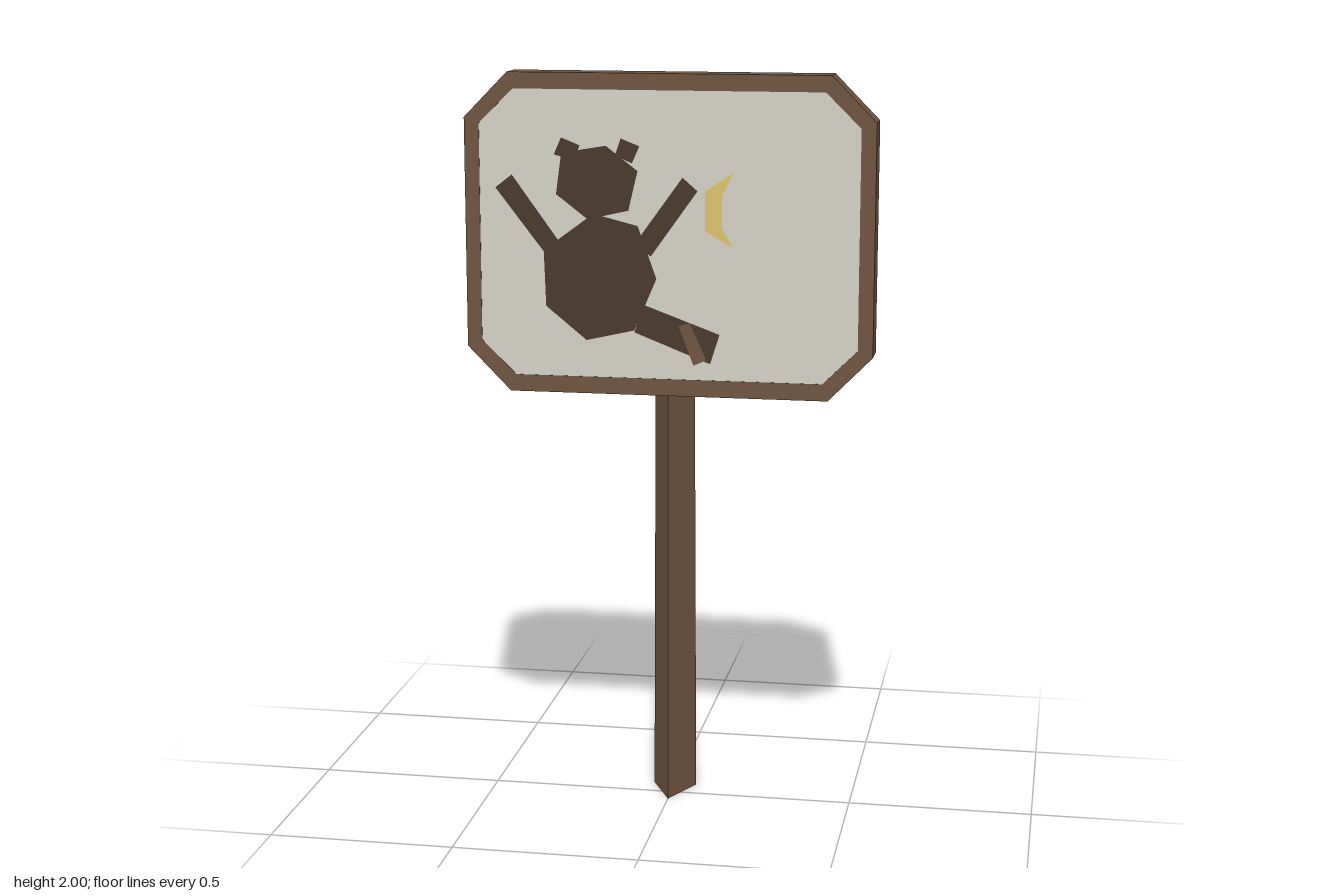
import * as THREE from 'three';

const material = (color, options = {}) =>
  new THREE.MeshStandardMaterial({ color, flatShading: true, ...options });

const polygon = (points) => new THREE.Shape(points.map(([x, y]) => new THREE.Vector2(x, y)));

// Rectangle with cut corners: half sizes, and where each cut begins
const octagon = (w, h, cutX, cutY, y) => [
  [cutX, -h], [w, -cutY], [w, cutY], [cutX, h],
  [-cutX, h], [-w, cutY], [-w, -cutY], [-cutX, -h],
].map(([px, py]) => [px, py + y]);

export function createModel() {
  const group = new THREE.Group();
  const wood = material(0x70543f);
  const panel = material(0xd4d1c6);
  const dark = material(0x4a392d);
  const yellow = material(0xdec26c);

  const add = (name, geometry, mat, z = 0, parent = group) => {
    const mesh = new THREE.Mesh(geometry, mat);
    mesh.name = name;
    mesh.position.z = z;
    parent.add(mesh);
    return mesh;
  };

  // Three-sided tapering post, flat side to the back
  const postGeometry = new THREE.CylinderGeometry(0.87, 1, 1.66, 3);
  postGeometry.scale(0.069, 1, 0.081);
  postGeometry.translate(0, 0.83, -0.026);
  add('post', postGeometry, wood);

  // Board: frame with a pale panel on each face
  const outer = octagon(0.548, 0.4275, 0.43, 0.3075, 1.5725);
  const inner = octagon(0.508, 0.383, 0.415, 0.291, 1.5735);
  const frame = polygon(outer);
  frame.holes.push(polygon(inner));
  add('frame', new THREE.ExtrudeGeometry(frame, { depth: 0.086, bevelEnabled: false }), wood, -0.028);
  add('frontPanel', new THREE.ShapeGeometry(polygon(inner)), panel, 0.0565);
  add('backPanel', new THREE.ShapeGeometry(polygon(outer)), panel, -0.029).rotation.y = Math.PI;

  // Flat painted bear silhouette
  const bear = new THREE.Group();
  bear.name = 'bearSilhouette';
  group.add(bear);
  const bearParts = {
    body: [[-0.2, 1.63], [-0.08, 1.6], [-0.03, 1.46], [-0.09, 1.32], [-0.22, 1.29], [-0.33, 1.38], [-0.335, 1.53]],
    head: [[-0.165, 1.81], [-0.08, 1.745], [-0.105, 1.64], [-0.215, 1.615], [-0.3, 1.68], [-0.285, 1.79]],
    rightEar: [[-0.285, 1.83], [-0.235, 1.81], [-0.25, 1.77], [-0.305, 1.785]],
    leftEar: [[-0.125, 1.83], [-0.075, 1.81], [-0.095, 1.765], [-0.14, 1.785]],
    rightArm: [[-0.465, 1.695], [-0.42, 1.73], [-0.29, 1.55], [-0.33, 1.52]],
    leftArm: [[0.04, 1.73], [0.08, 1.695], [-0.045, 1.52], [-0.09, 1.55]],
    leg: [[-0.065, 1.39], [0.14, 1.315], [0.115, 1.235], [-0.09, 1.315]],
  };
  for (const [name, points] of Object.entries(bearParts)) {
    add(name, new THREE.ShapeGeometry(polygon(points)), dark, 0.058, bear);
  }
  const stripe = [[0.03, 1.335], [0.06, 1.345], [0.105, 1.245], [0.07, 1.23]];
  add('legStripe', new THREE.ShapeGeometry(polygon(stripe)), wood, 0.059, bear);

  // Crescent moon
  const moon = [[0.175, 1.745], [0.1, 1.695], [0.1, 1.59], [0.175, 1.547], [0.145, 1.6], [0.145, 1.685]];
  add('moon', new THREE.ShapeGeometry(polygon(moon)), yellow, 0.058);

  return group;
}
